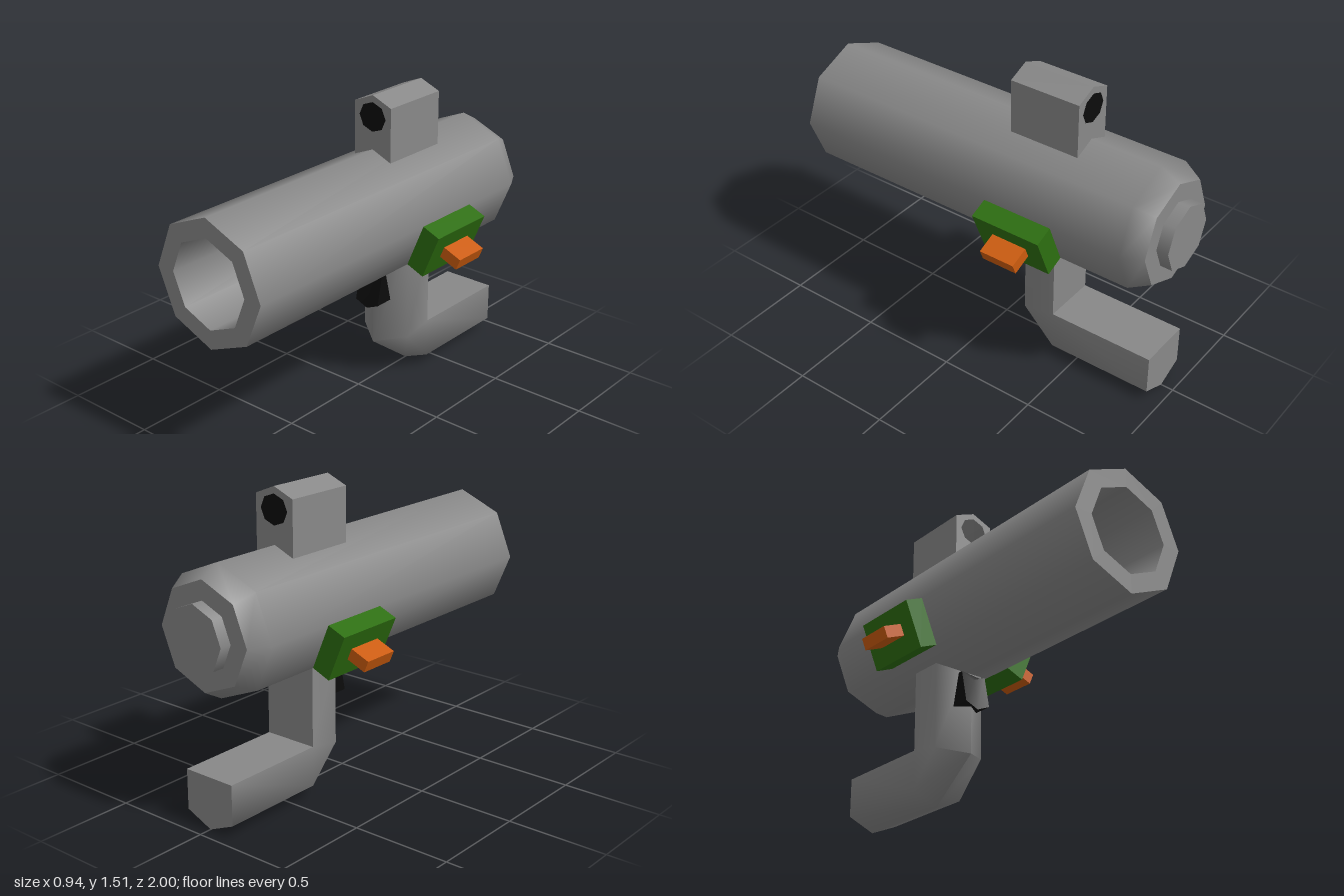
import * as THREE from 'three';
import { toCreasedNormals } from 'three/addons/utils/BufferGeometryUtils.js';

const mat = (name, color) => {
  const m = new THREE.MeshStandardMaterial({ color });
  m.name = name;
  return m;
};

// Skin a list of equal-length cross-section loops and cap both ends
function loft(loops, crease) {
  const n = loops[0].length, pos = [], idx = [];
  loops.forEach(l => l.forEach(p => pos.push(...p)));
  for (let i = 0; i < loops.length - 1; i++) {
    for (let j = 0; j < n; j++) {
      const a = i * n + j, b = i * n + (j + 1) % n;
      idx.push(a, b, b + n, a, b + n, a + n);
    }
  }
  const last = (loops.length - 1) * n;
  for (let j = 1; j < n - 1; j++) idx.push(0, j + 1, j, last, last + j, last + j + 1);
  const g = new THREE.BufferGeometry();
  g.setAttribute('position', new THREE.Float32BufferAttribute(pos, 3));
  g.setIndex(idx);
  return toCreasedNormals(g, crease);
}

export function createModel() {
  const grey = mat('grey metal', 0x888888);
  const black = mat('black', 0x0c0c0c);
  const green = mat('green', 0x2d6e10);
  const orange = mat('orange', 0xcc5c0e);

  const model = new THREE.Group();
  model.name = 'launcher';
  const add = (name, geometry, material, parent = model) => {
    const m = new THREE.Mesh(geometry, material);
    m.name = name;
    parent.add(m);
    return m;
  };

  // Eight-sided tube along z; profiles are [radius, z]
  const axisY = 0.925;
  const turned = (name, profile, material) => {
    const g = new THREE.LatheGeometry(profile.map(p => new THREE.Vector2(...p)), 8);
    g.rotateX(Math.PI / 2);
    add(name, g, material).position.y = axisY;
  };
  turned('barrel', [[0.26, -0.94], [0.315, -0.84], [0.315, 1]], grey);
  turned('muzzleRing', [[0.315, 1], [0.22, 1]], grey);
  turned('bore', [[0.22, 1], [0.22, -0.5]], grey);
  turned('boreEnd', [[0.22, -0.5], [0, -0.5]], black);
  turned('breechFace', [[0, -0.94], [0.26, -0.94]], grey);
  turned('rearCapSide', [[0.165, -1], [0.165, -0.94]], grey);
  turned('rearCapFace', [[0, -1], [0.165, -1]], grey);

  // Sight block with a shallow peaked top and a lens at each end
  const outline = new THREE.Shape([
    [-0.11, 1.19], [0.11, 1.19], [0.11, 1.465], [0, 1.51], [-0.11, 1.465],
  ].map(p => new THREE.Vector2(...p)));
  const sight = new THREE.ExtrudeGeometry(outline, { depth: 0.37, bevelEnabled: false });
  add('sight', sight.translate(0, 0, -0.475), grey);
  for (const [name, z, turn] of [['frontLens', -0.103, 0], ['rearLens', -0.477, Math.PI]]) {
    const lens = add(name, new THREE.CircleGeometry(0.08, 8), black);
    lens.scale.y = 0.92;
    lens.position.set(0, 1.403, z);
    lens.rotation.y = turn;
  }

  // Side pads with knobs, set on the lower side faces of the barrel
  for (const side of [1, -1]) {
    const pod = new THREE.Group();
    pod.name = side > 0 ? 'leftPod' : 'rightPod';
    pod.position.set(0, axisY, -0.29);
    pod.rotation.z = side > 0 ? -Math.PI / 8 : Math.PI * 9 / 8;
    model.add(pod);
    add('pad', new THREE.BoxGeometry(0.1, 0.241, 0.37), green, pod).position.x = 0.341;
    add('knob', new THREE.BoxGeometry(0.12, 0.06, 0.187), orange, pod).position.x = 0.435;
  }

  // Bent grip with a ridged outer face; each point is [y, z]
  const section = (inner, shoulder, ridge) => [
    [0.14, ...inner], [0.14, ...shoulder], [0, ...ridge], [-0.14, ...shoulder], [-0.14, ...inner],
  ];
  add('grip', loft([
    section([0.7, -0.385], [0.7, -0.217], [0.7, -0.115]),
    section([0.26, -0.385], [0.23, -0.217], [0.2, -0.115]),
    section([0.26, -0.385], [0.06, -0.385], [0, -0.385]),
    section([0.26, -0.935], [0.06, -0.935], [0, -0.935]),
  ], 1.3), grey);

  // Trigger wedge, wider at its pointed lower end
  const wedge = (y, front, back) => [
    [0.07, y, back], [0.07, y, front], [0, y - 0.03, front],
    [-0.07, y, front], [-0.07, y, back], [0, y - 0.03, back],
  ];
  add('trigger', loft([wedge(0.605, -0.1, -0.125), wedge(0.44, -0.065, -0.166)], 0.6), black);

  return model;
}
